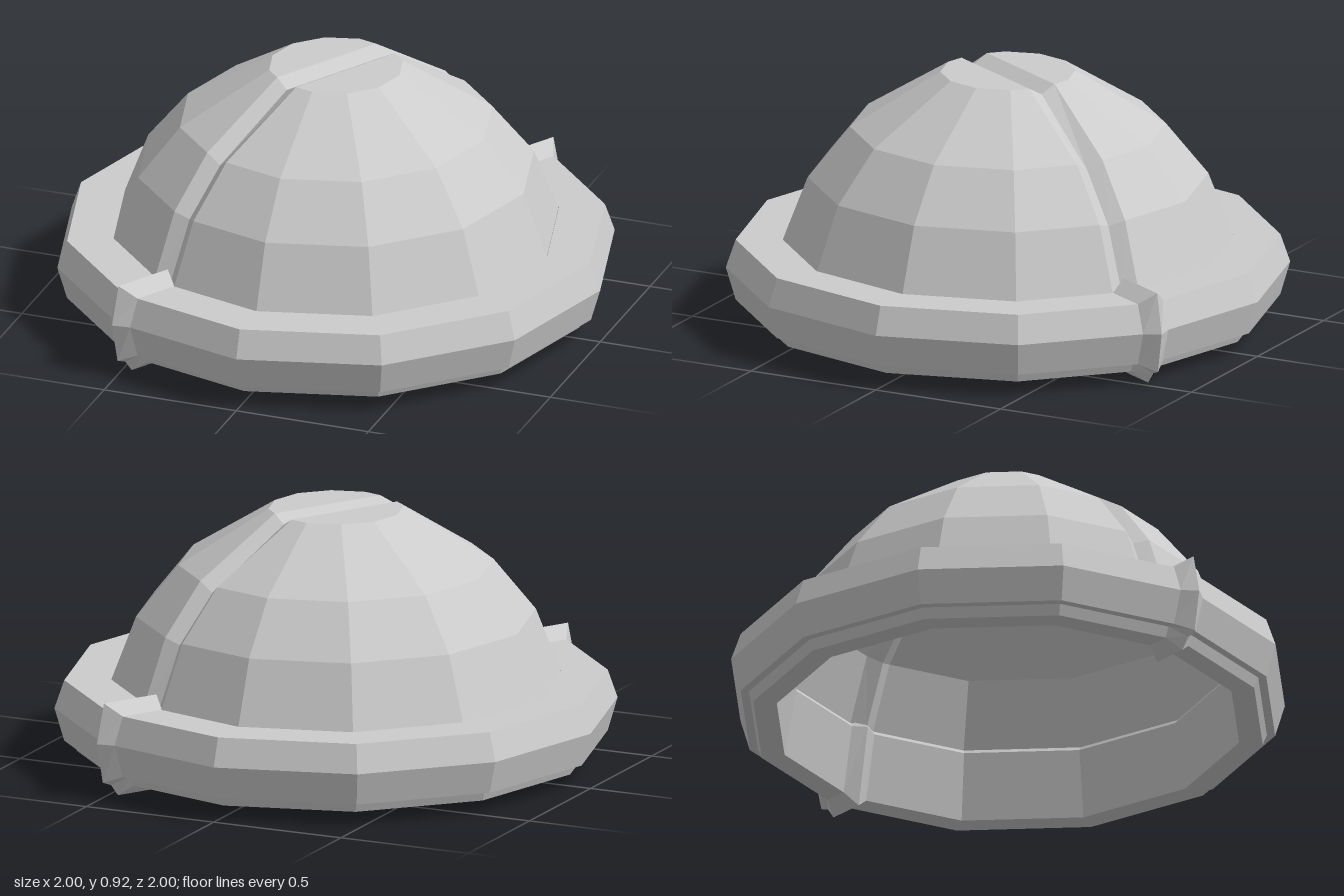
import * as THREE from 'three';

const SIDES = 12;
const SEAM_SIDES = [5, 11]; // opposite corners crossed by the seam
const SEAM_HALF_WIDTH = 0.055;

// One twelve-sided ring; each seam corner is split into edge, middle, edge.
// Station: [radius, height, seam radius, seam height]
function ringPoints([r, y, seamR, seamY]) {
  const corner = (k, radius, height) => {
    const a = (k / SIDES) * Math.PI * 2;
    return new THREE.Vector3(Math.sin(a) * radius, height, Math.cos(a) * radius);
  };
  const points = [];
  for (let k = 0; k < SIDES; k++) {
    const p = corner(k, r, y);
    if (!SEAM_SIDES.includes(k)) {
      points.push(p);
      continue;
    }
    const towards = (n) =>
      p.clone().add(corner(n, r, y).sub(p).setLength(SEAM_HALF_WIDTH));
    points.push(towards(k - 1), corner(k, seamR, seamY), towards(k + 1));
  }
  return points;
}

// Skins a list of stations, optionally joining last to first;
// caps are convex polygons given as indices into the last ring
function loft(name, stations, { closed = false, caps = [] } = {}) {
  const rings = stations.map(ringPoints);
  const count = rings[0].length;
  const verts = [];
  const tri = (...pts) => pts.forEach((p) => verts.push(p.x, p.y, p.z));
  const spans = closed ? rings.length : rings.length - 1;
  for (let i = 0; i < spans; i++) {
    const a = rings[i];
    const b = rings[(i + 1) % rings.length];
    for (let j = 0; j < count; j++) {
      const n = (j + 1) % count;
      tri(a[j], a[n], b[n]);
      tri(a[j], b[n], b[j]);
    }
  }
  const top = rings[rings.length - 1];
  for (const cap of caps) {
    for (let i = 1; i < cap.length - 1; i++) {
      tri(top[cap[0]], top[cap[i]], top[cap[i + 1]]);
    }
  }
  const geometry = new THREE.BufferGeometry();
  geometry.setAttribute('position', new THREE.Float32BufferAttribute(verts, 3));
  geometry.computeVertexNormals();
  const material = new THREE.MeshStandardMaterial({
    color: 0xcccccc,
    flatShading: true,
    side: THREE.DoubleSide,
  });
  const mesh = new THREE.Mesh(geometry, material);
  mesh.name = name;
  return mesh;
}

export function createModel() {
  const group = new THREE.Group();
  group.name = 'hollowDome';

  // Thin shell with a V groove running over the top
  group.add(loft('domeShell', [
    [0.80, 0.295, 0.755, 0.295],
    [0.71, 0.53, 0.67, 0.51],
    [0.56, 0.715, 0.53, 0.68],
    [0.24, 0.915, 0.225, 0.885],
  ], {
    caps: [
      [15, 0, 1, 2, 3, 4, 5], // flat half on one side
      [7, 8, 9, 10, 11, 12, 13], // flat half on the other
      [14, 15, 5, 6], // groove walls
      [6, 7, 13, 14],
    ],
  }));

  // Solid rim with a ridge on all sides where the seam crosses it
  group.add(loft('rim', [
    [0.835, 0.042, 0.80, 0.0],
    [0.92, 0.042, 0.935, 0.0],
    [0.935, 0.08, 0.965, 0.042],
    [0.965, 0.08, 1.0, 0.055],
    [1.0, 0.20, 1.025, 0.20],
    [0.965, 0.302, 0.995, 0.345],
    [0.80, 0.302, 0.77, 0.345],
    [0.79, 0.285, 0.752, 0.29],
  ], { closed: true }));

  return group;
}
